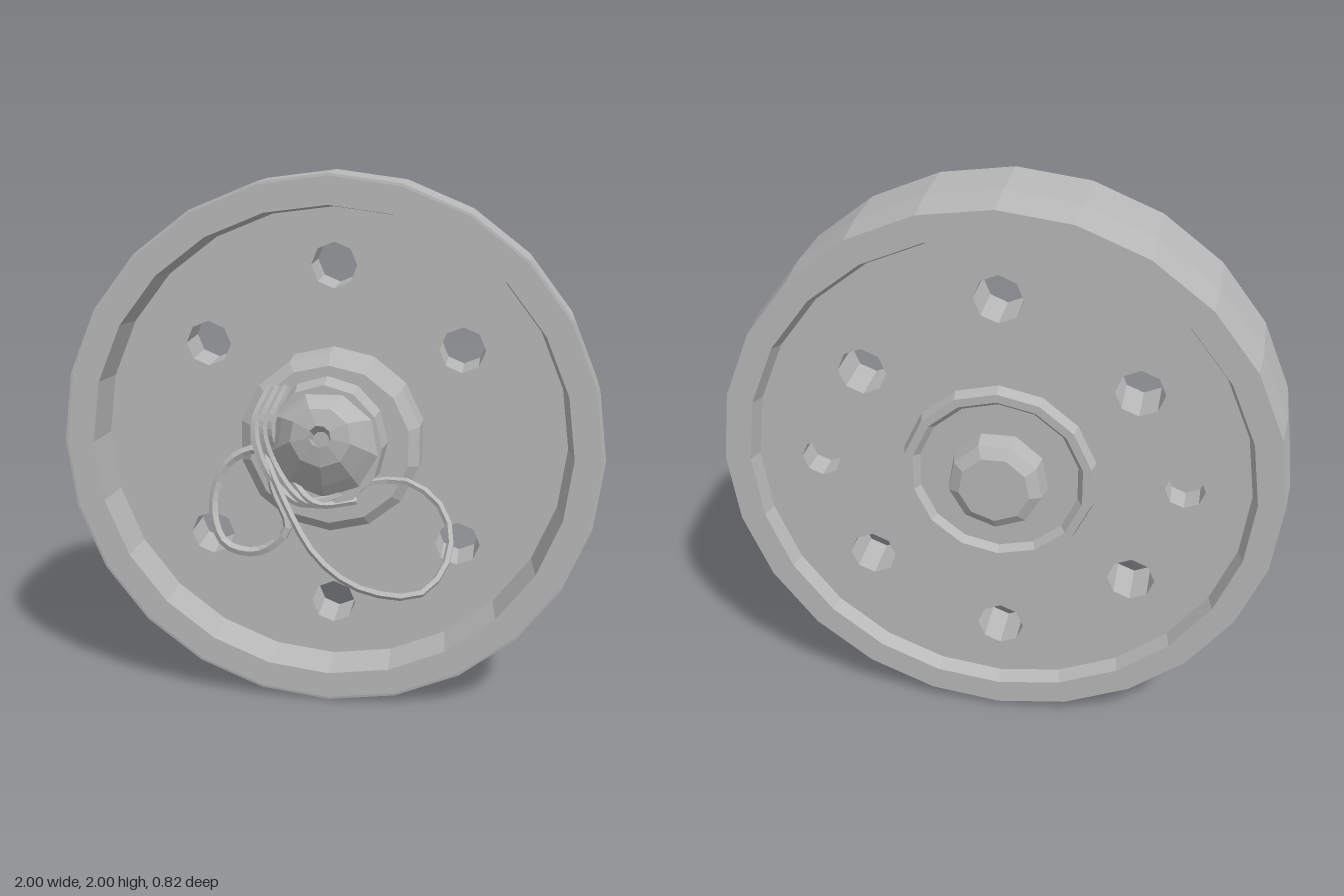
import * as THREE from 'three';

const steel = new THREE.MeshStandardMaterial({ color: 0xb8b8b8, flatShading: true });
steel.name = 'plain grey';

function add(group, geometry, name, x = 0, y = 1, z = 0) {
  const mesh = new THREE.Mesh(geometry, steel);
  mesh.name = name;
  mesh.position.set(x, y, z);
  group.add(mesh);
  return mesh;
}

// Turned part about the z axis; the profile lists [radius, z]
function turned(profile, sides) {
  const pts = profile.map(([r, z]) => new THREE.Vector2(r, z));
  return new THREE.LatheGeometry(pts, sides).rotateX(Math.PI / 2);
}

// Disc with polygonal holes, extruded along z
function drilledDisc(radius, depth, holes) {
  const ring = (path, cx, cy, r, n) => {
    for (let i = 0; i < n; i++) {
      const a = (i / n) * Math.PI * 2;
      path[i ? 'lineTo' : 'moveTo'](cx + r * Math.cos(a), cy + r * Math.sin(a));
    }
    path.closePath();
    return path;
  };
  const shape = ring(new THREE.Shape(), 0, 0, radius, 24);
  for (const [x, y, r] of holes) shape.holes.push(ring(new THREE.Path(), x, y, r, 8));
  return new THREE.ExtrudeGeometry(shape, { depth, bevelEnabled: false });
}

// Thin wire following a smooth path
function wire(points, radius, closed) {
  const curve = new THREE.CatmullRomCurve3(points.map((p) => new THREE.Vector3(...p)), closed);
  return new THREE.TubeGeometry(curve, 28, radius, 5, closed);
}

export function createModel() {
  const model = new THREE.Group();
  model.name = 'wheel';

  // Heavy outer rim, slightly narrower at the back
  add(model, turned([
    [0.983, -0.355], [0.998, -0.2], [1, 0.028], [0.99, 0.03],
    [0.89, 0.03], [0.872, -0.125], [0.872, -0.3], [0.89, -0.355], [0.983, -0.355],
  ], 24), 'rim');

  // Web: six through holes, and two blind holes at the back only
  const through = [[0, 0.66, 0.085], [0, -0.655, 0.085]];
  for (const sx of [-1, 1]) for (const y of [0.358, -0.392]) through.push([sx * 0.475, y, 0.085]);
  const blind = [[-0.645, 0, 0.07], [0.645, 0, 0.07]];
  add(model, drilledDisc(0.885, 0.075, through), 'frontWeb', 0, 1, -0.2);
  add(model, drilledDisc(0.885, 0.1, [...through, ...blind]), 'backWeb', 0, 1, -0.3);

  // Front hub plate and boss, whose cap leans upward to an off-centre nose
  add(model, turned([[0.345, -0.13], [0.34, -0.02], [0.3, 0.01], [0, 0.01]], 14), 'hubPlate', 0, 1.015);
  add(model, turned([[0.225, 0], [0.238, 0.04], [0.225, 0.13], [0, 0.13]], 12), 'boss', 0, 1.045).scale.x = 0.93;
  const lean = new THREE.Matrix4().set(1, 0, 0, 0, 0, 1, 0.55, -0.066, 0, 0, 1, 0, 0, 0, 0, 1);
  add(model, turned([
    [0.205, 0.12], [0.165, 0.17], [0.11, 0.225], [0.04, 0.24], [0.03, 0.2], [0, 0.2],
  ], 9).applyMatrix4(lean), 'bossCap', 0, 1.045);

  // Back hub: shallow dish with a raised lip, and a bevelled axle end
  add(model, turned([
    [0, -0.318], [0.285, -0.318], [0.305, -0.345], [0.335, -0.345], [0.35, -0.29],
  ], 14), 'backRing');
  add(model, turned([[0, -0.41], [0.125, -0.41], [0.165, -0.385], [0.178, -0.31]], 9), 'axleEnd');

  // Tied wire: a large loop, a small loop and the twisted knot between them
  add(model, wire([
    [-0.23, 1.05, 0.12], [-0.12, 0.84, 0.22], [0.01, 0.69, 0.33], [0.17, 0.61, 0.39],
    [0.37, 0.6, 0.38], [0.46, 0.7, 0.27], [0.44, 0.83, 0.18], [0.32, 0.92, 0.13],
    [0.17, 0.91, 0.1], [-0.08, 0.84, 0.15],
  ], 0.014, true), 'largeLoop', 0, 0);
  add(model, wire([
    [-0.23, 1.02, 0.12], [-0.35, 0.97, 0.11], [-0.41, 0.82, 0.13], [-0.36, 0.68, 0.18],
    [-0.23, 0.66, 0.2], [-0.12, 0.76, 0.21], [-0.17, 0.88, 0.18],
  ], 0.018, true), 'smallLoop', 0, 0);
  for (let i = 0; i < 3; i++) {
    const d = i * 0.03;
    add(model, wire([
      [-0.2 + d, 1.25, 0.08], [-0.25 + d, 1.12, 0.14], [-0.21 + d, 0.97, 0.17 - d],
      [-0.1 + d, 0.84, 0.15], [0.05 + d, 0.83, 0.08],
    ], 0.016, false), 'twistStrand', 0, 0);
  }
  return model;
}
